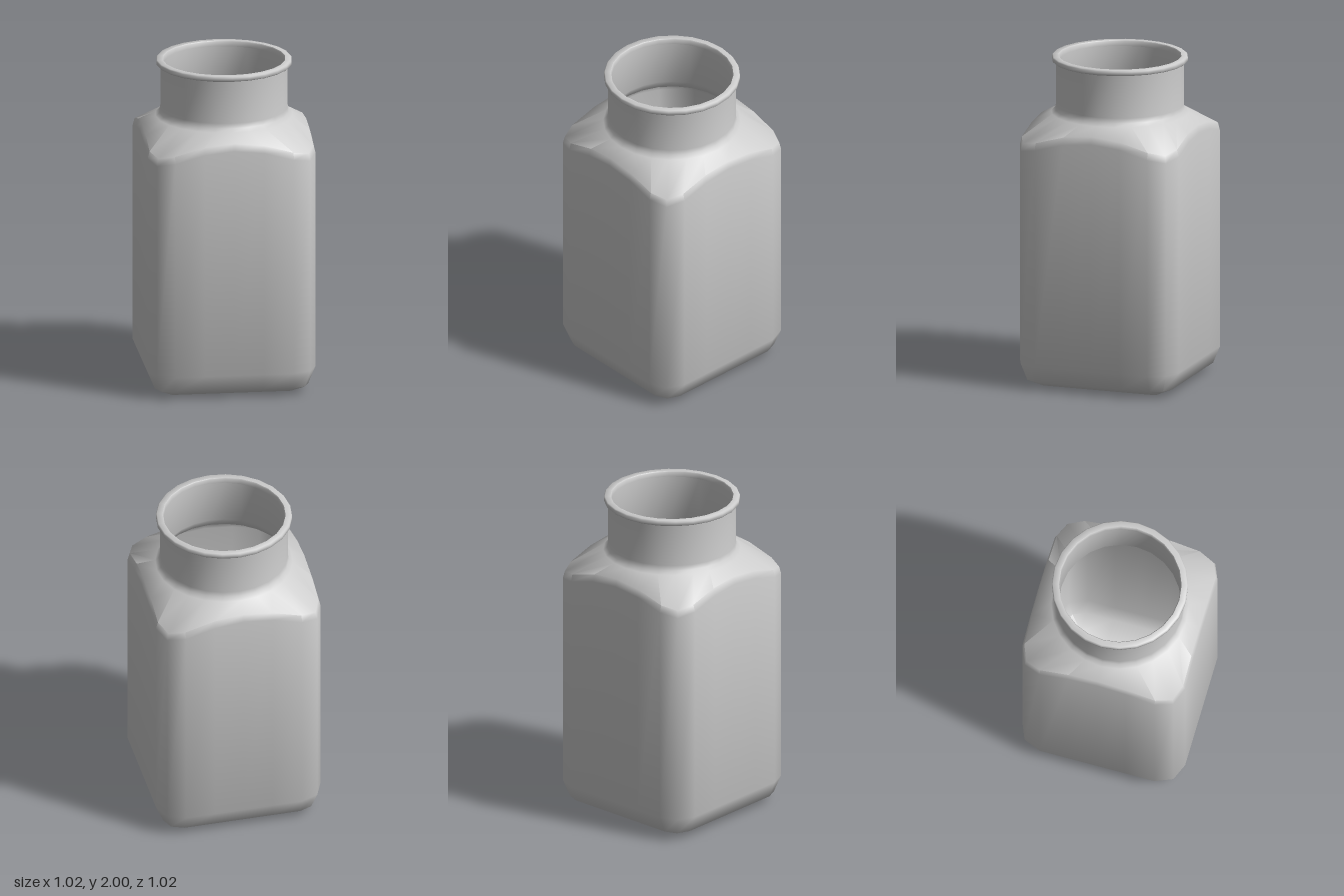
import * as THREE from 'three';
import { toCreasedNormals } from 'three/addons/utils/BufferGeometryUtils.js';

const SIDES = 24;
const CORE = 0.36; // half width of the flat part of each side

// Round cross-section
function circle(r, y) {
  return Array.from({ length: SIDES }, (_, i) => {
    const a = (i / SIDES) * Math.PI * 2;
    return new THREE.Vector3(r * Math.cos(a), y, r * Math.sin(a));
  });
}

// Square cross-section with rounded corners; drop lowers the ring towards its corners
function square(core, round, y, drop = 0) {
  const e = core + round, c = core + round * Math.SQRT1_2;
  const eighth = [[e, 0], [e, core / 2], [e, core], [c, c], [core, e], [core / 2, e]];
  const ring = [];
  for (let q = 0; q < 4; q++) {
    for (const [u, v] of eighth) {
      const [x, z] = [[u, v], [-v, u], [-u, -v], [v, -u]][q];
      ring.push(new THREE.Vector3(x, y - drop * (Math.hypot(x, z) - e), z));
    }
  }
  return ring;
}

// Skin a stack of rings, skipping collapsed triangles
function loft(rings) {
  const pos = [];
  const tri = new THREE.Triangle();
  const add = (a, b, c) => {
    if (tri.set(a, b, c).getArea() > 1e-8) pos.push(...a, ...b, ...c);
  };
  for (let j = 0; j < rings.length - 1; j++) {
    for (let i = 0; i < SIDES; i++) {
      const n = (i + 1) % SIDES;
      add(rings[j][i], rings[j + 1][i], rings[j][n]);
      add(rings[j][n], rings[j + 1][i], rings[j + 1][n]);
    }
  }
  const geo = new THREE.BufferGeometry();
  geo.setAttribute('position', new THREE.Float32BufferAttribute(pos, 3));
  return toCreasedNormals(geo, THREE.MathUtils.degToRad(50));
}

export function createModel() {
  const jar = new THREE.Group();
  jar.name = 'jar';
  const material = new THREE.MeshStandardMaterial({ color: 0xcccccc });
  const addPart = (name, rings) => {
    const mesh = new THREE.Mesh(loft(rings), material);
    mesh.name = name;
    jar.add(mesh);
  };

  // Rounded base, straight sides, arched shoulder and round neck
  addPart('outerWall', [
    circle(0, 0),
    square(CORE, 0, 0),
    square(CORE, 0.106, 0.045),
    square(CORE, 0.15, 0.15),
    square(CORE, 0.15, 1.56, 0.6),
    square(CORE, 0.138, 1.605, 0.6),
    circle(0.415, 1.65),
    circle(0.392, 1.67),
    circle(0.386, 1.7),
    circle(0.386, 1.97),
  ]);

  // Rolled lip around the mouth
  addPart('rim', [
    circle(0.386, 1.967),
    circle(0.405, 1.967),
    circle(0.411, 1.973),
    circle(0.411, 1.993),
    circle(0.405, 2),
    circle(0.372, 2),
    circle(0.367, 1.994),
    circle(0.367, 1.965),
  ]);

  // Hollow inside, from the mouth down to the floor
  addPart('innerWall', [
    circle(0.367, 1.965),
    circle(0.367, 1.69),
    circle(0.395, 1.635),
    square(CORE - 0.02, 0.138, 1.585, 0.6),
    square(CORE - 0.02, 0.15, 1.54, 0.6),
    square(CORE - 0.02, 0.15, 0.17),
    square(CORE - 0.02, 0.106, 0.065),
    square(CORE - 0.02, 0, 0.02),
    circle(0, 0.02),
  ]);

  return jar;
}
